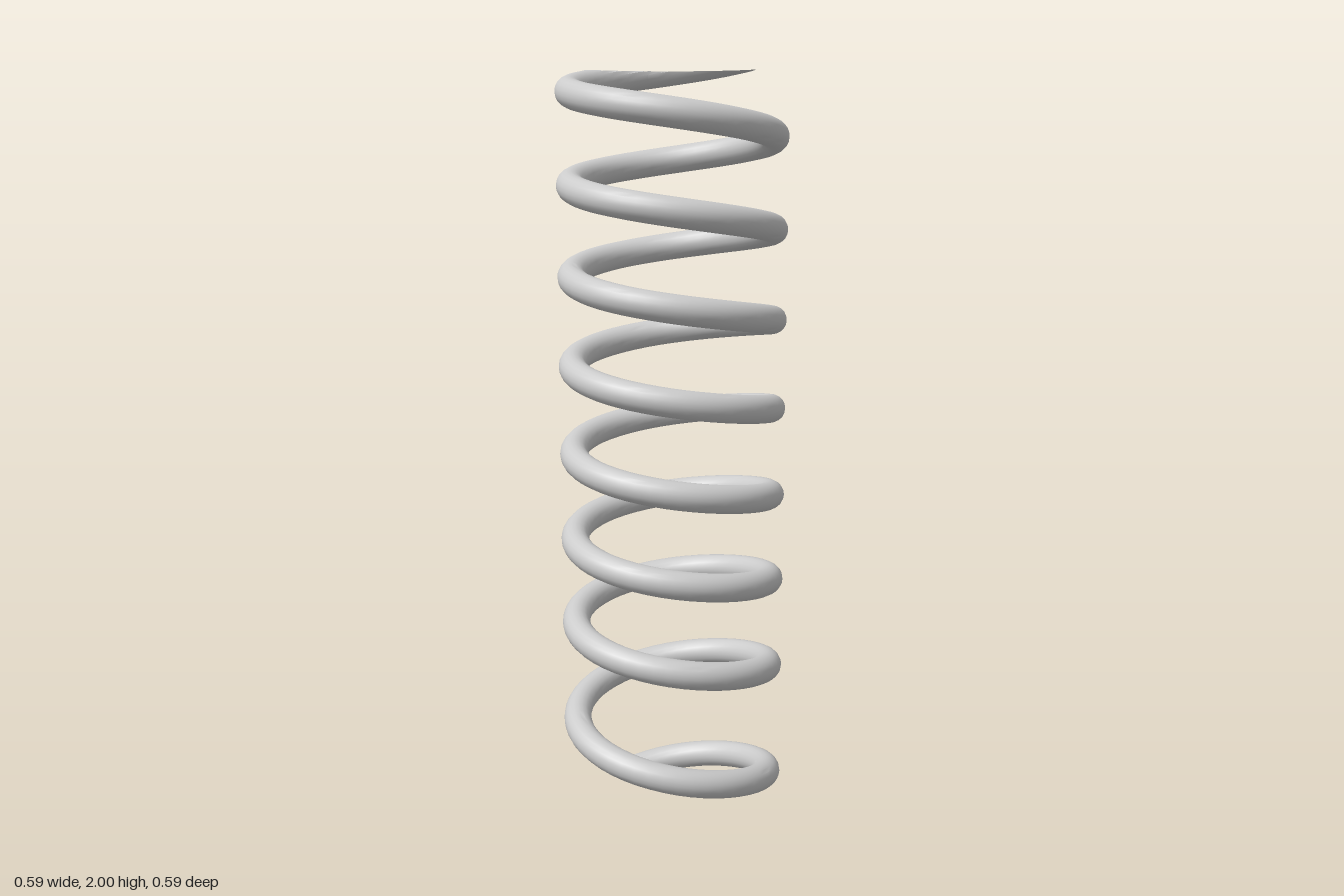
import * as THREE from 'three';
import { toCreasedNormals } from 'three/addons/utils/BufferGeometryUtils.js';

const COIL_RADIUS = 0.26;
const WIRE_RADIUS = 0.037;
const HEIGHT = 2;
const START = -0.4175; // in turns, 0 = +x, 0.25 = +z
const END = 7.849;
const SIDES = 20;
const STEPS = 400;

// Height of the wire centre: wider pitch at the bottom, constant above
function wireHeight(t) {
  if (t < 0.25) return 0.2156 + 0.327 * (t - 0.25);
  const bend = Math.max(0, 1.5 - t);
  return 0.565 + 0.232 * (t - 1.5) - 0.038 * bend * bend;
}

// Round wire section, cut flat where it passes the ground or the top plane
function sectionPoint(yc, a) {
  const low = Math.max(-WIRE_RADIUS, -yc);
  const high = Math.max(-WIRE_RADIUS, Math.min(WIRE_RADIUS, HEIGHT - yc));
  const v = THREE.MathUtils.clamp(WIRE_RADIUS * Math.sin(a), low, high);
  const half = Math.sqrt(Math.max(0, WIRE_RADIUS ** 2 - v * v));
  const u = THREE.MathUtils.clamp(WIRE_RADIUS * Math.cos(a), -half, half);
  return [COIL_RADIUS + u, yc + v];
}

function springGeometry() {
  const positions = [];
  const indices = [];
  for (let i = 0; i <= STEPS; i++) {
    const t = START + ((END - START) * i) / STEPS;
    const angle = t * Math.PI * 2;
    for (let j = 0; j < SIDES; j++) {
      const [r, y] = sectionPoint(wireHeight(t), (j / SIDES) * Math.PI * 2);
      positions.push(r * Math.cos(angle), y, r * Math.sin(angle));
    }
  }
  for (let i = 0; i < STEPS; i++) {
    for (let j = 0; j < SIDES; j++) {
      const a = i * SIDES + j;
      const b = i * SIDES + ((j + 1) % SIDES);
      indices.push(a, b, a + SIDES, b, b + SIDES, a + SIDES);
    }
  }
  // Blunt lower end; the upper end tapers away on the top plane
  for (let j = 1; j < SIDES - 1; j++) indices.push(0, j + 1, j);

  const geometry = new THREE.BufferGeometry();
  geometry.setAttribute('position', new THREE.Float32BufferAttribute(positions, 3));
  geometry.setIndex(indices);
  return toCreasedNormals(geometry, Math.PI / 6);
}

export function createModel() {
  const group = new THREE.Group();
  group.name = 'coilSpring';
  const material = new THREE.MeshStandardMaterial({ color: 0xcccccc });
  const wire = new THREE.Mesh(springGeometry(), material);
  wire.name = 'springWire';
  group.add(wire);
  return group;
}
